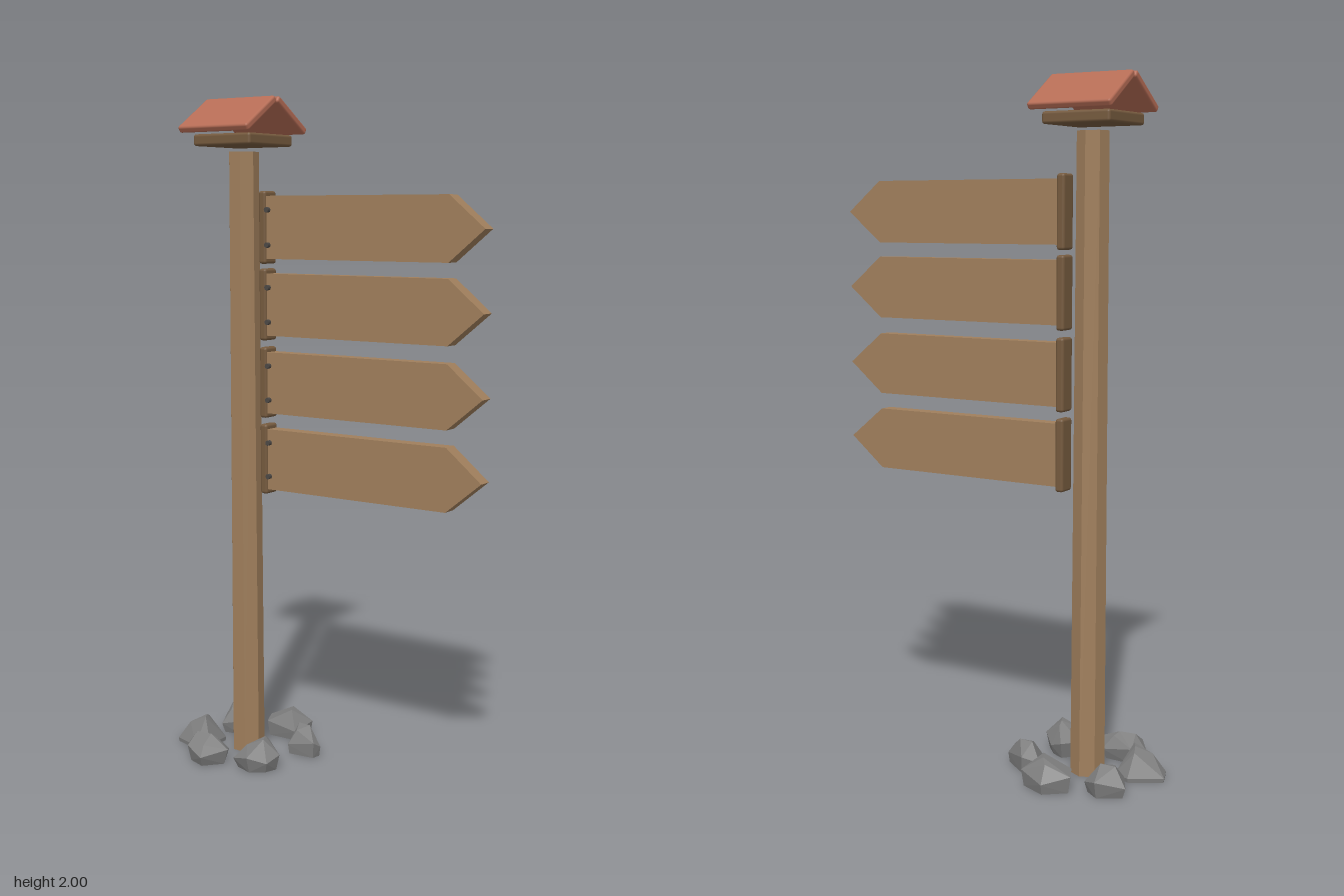
import * as THREE from 'three';
import { RoundedBoxGeometry } from 'three/addons/geometries/RoundedBoxGeometry.js';
import { ConvexGeometry } from 'three/addons/geometries/ConvexGeometry.js';

const POST_X = -0.3;

function material(name, color, flatShading = false) {
  const m = new THREE.MeshStandardMaterial({ color, flatShading });
  m.name = name;
  return m;
}

export function createModel() {
  const wood = material('wood', 0xa07f5c, true);
  const darkWood = material('dark wood', 0x755a3e);
  const roofRed = material('roof red', 0xb56c55);
  const stone = material('stone', 0x7e7e7e, true);
  const iron = material('iron', 0x4c4845);

  const model = new THREE.Group();
  model.name = 'signpost';

  function add(parent, name, geometry, mat, x = 0, y = 0, z = 0) {
    const mesh = new THREE.Mesh(geometry, mat);
    mesh.name = name;
    mesh.position.set(x, y, z);
    parent.add(mesh);
    return mesh;
  }

  // Seven-sided, slightly tapered post with one flat face to the front
  const postGeometry = new THREE.CylinderGeometry(0.046, 0.051, 1.84, 7, 1, false, Math.PI / 7);
  add(model, 'post', postGeometry, wood, POST_X, 0.92, 0);

  // Small cap board and two-slab gable roof
  const roof = new THREE.Group();
  roof.name = 'roof';
  model.add(roof);
  add(roof, 'capBoard', new RoundedBoxGeometry(0.21, 0.034, 0.21, 2, 0.008), darkWood, POST_X, 1.873, 0);
  const slab = new RoundedBoxGeometry(0.255, 0.022, 0.165, 2, 0.007);
  for (const side of [1, -1]) {
    const half = add(roof, side > 0 ? 'frontRoofSlab' : 'backRoofSlab', slab, roofRed, POST_X, 1.945, side * 0.074);
    half.rotation.x = side * 0.577;
  }

  // Arrow boards, each with an end batten and two nails
  const arrow = new THREE.Shape([
    [-0.205, -0.0915], [0.415, -0.0915], [0.527, 0], [0.415, 0.0915], [-0.205, 0.0915],
  ].map(([x, y]) => new THREE.Vector2(x, y)));
  const arrowGeometry = new THREE.ExtrudeGeometry(arrow, { depth: 0.044, bevelEnabled: false });
  arrowGeometry.translate(0, 0, -0.022);
  const battenGeometry = new RoundedBoxGeometry(0.026, 0.212, 0.056, 2, 0.008);
  const nailGeometry = new THREE.CylinderGeometry(0.008, 0.008, 0.014, 8);
  nailGeometry.rotateX(Math.PI / 2);

  [1.62, 1.394, 1.162, 0.931].forEach((y, i) => {
    const sign = new THREE.Group();
    sign.name = `sign${i + 1}`;
    sign.position.y = y;
    model.add(sign);
    add(sign, 'arrowBoard', arrowGeometry, wood);
    add(sign, 'batten', battenGeometry, darkWood, -0.212, 0, 0);
    for (const dy of [-0.051, 0.051]) add(sign, 'nail', nailGeometry, iron, -0.192, dy, 0.027);
  });

  // Rocks: outline [x, z] seen from above, height, and how far the foot spreads
  const rocks = [
    { height: 0.085, foot: 0.85, outline: [[-0.49, -0.13], [-0.415, -0.175], [-0.365, -0.14], [-0.375, -0.06], [-0.445, -0.05]] },
    { height: 0.09, foot: 0.9, outline: [[-0.34, -0.175], [-0.275, -0.23], [-0.19, -0.195], [-0.205, -0.12], [-0.31, -0.115]] },
    { height: 0.085, foot: 0.92, outline: [[-0.19, -0.09], [-0.145, -0.118], [-0.065, -0.06], [-0.07, -0.03], [-0.16, -0.02]] },
    { height: 0.095, foot: 0.82, outline: [[-0.19, 0.035], [-0.145, 0.055], [-0.1, 0.105], [-0.115, 0.15], [-0.165, 0.185], [-0.23, 0.165], [-0.23, 0.08]] },
    { height: 0.08, foot: 0.82, outline: [[-0.42, 0.15], [-0.38, 0.2], [-0.31, 0.224], [-0.255, 0.16], [-0.29, 0.11], [-0.39, 0.105]] },
    { height: 0.09, foot: 0.98, outline: [[-0.53, 0.035], [-0.44, -0.02], [-0.39, 0], [-0.39, 0.08], [-0.42, 0.115], [-0.51, 0.09]] },
  ];
  const rockRing = new THREE.Group();
  rockRing.name = 'rocks';
  model.add(rockRing);
  rocks.forEach(({ height, foot, outline }, i) => {
    const n = outline.length;
    const cx = outline.reduce((s, p) => s + p[0], 0) / n;
    const cz = outline.reduce((s, p) => s + p[1], 0) / n;
    const points = [];
    outline.forEach(([x, z], k) => {
      const at = (s, y) => points.push(new THREE.Vector3(cx + (x - cx) * s, y, cz + (z - cz) * s));
      at(foot, 0);
      at(1, foot > 0.95 ? 0.012 : 0.03 + 0.018 * ((k + i) % 2));
      if ((k + i) % 2 === 0) at(0.48, height - 0.012 * (k % 3));
    });
    points.push(new THREE.Vector3(cx + 0.012, height, cz - 0.01));
    add(rockRing, `rock${i + 1}`, new ConvexGeometry(points), stone);
  });

  return model;
}
